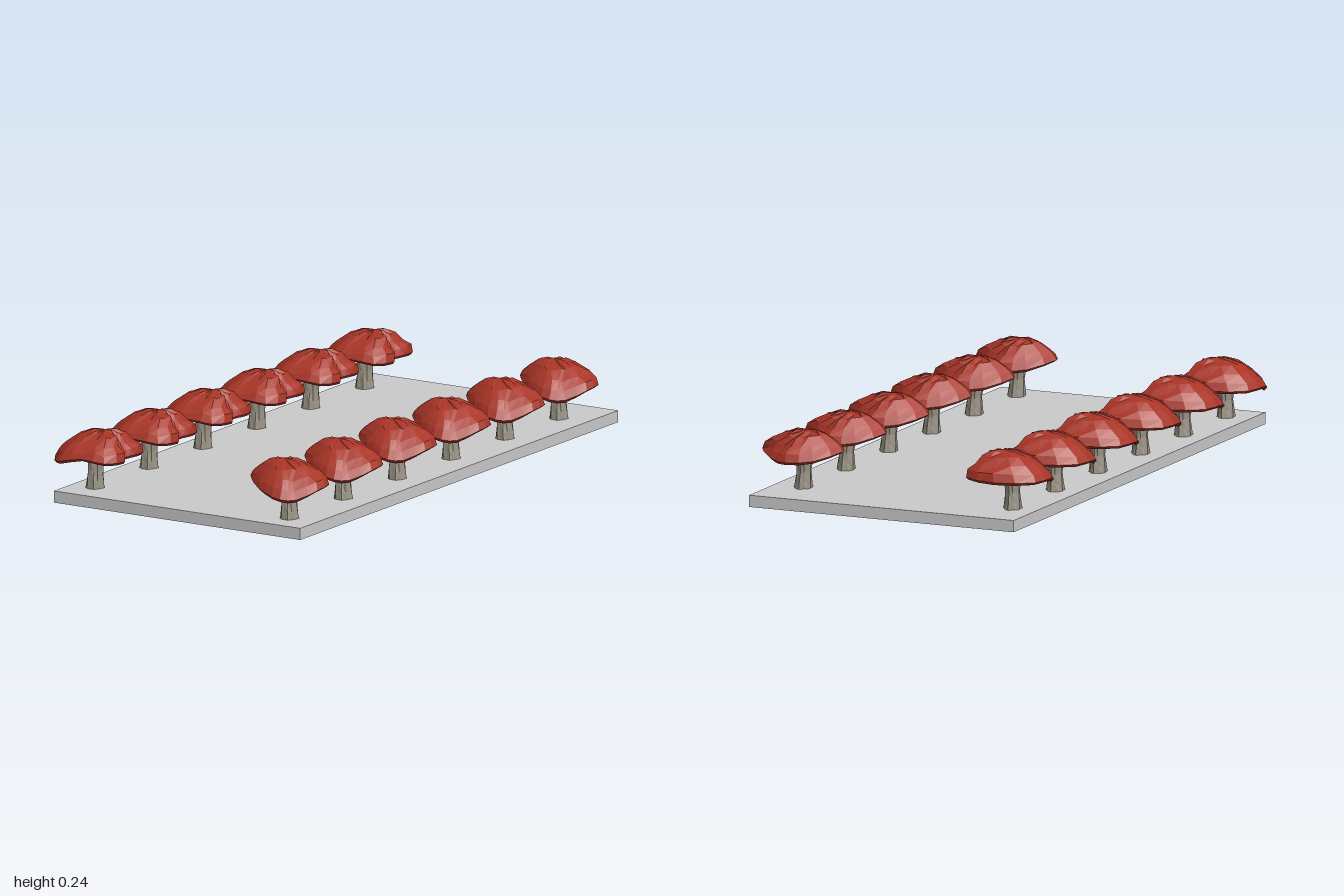
import * as THREE from 'three';

const slabMat = new THREE.MeshStandardMaterial({ color: 0xcccccc, flatShading: true });
const capMat = new THREE.MeshStandardMaterial({ color: 0xa83426, flatShading: true, side: THREE.DoubleSide });
const stemMat = new THREE.MeshStandardMaterial({ color: 0x999384, flatShading: true });

// seeded noise in -1..1
function seeded(seed) {
  let s = seed;
  return () => ((s = (s * 16807) % 2147483647) / 2147483647) * 2 - 1;
}

// wavy rims, clockwise from above: [x, y, z] relative to the mushroom's foot
const RIMS = {
  right: [[-.116, .15, -.07], [.01, .15, -.13], [.122, .155, -.106], [.127, .158, -.042], [.113, .155, 0],
    [.137, .152, .032], [.106, .155, .111], [.02, .163, .122], [-.064, .147, .132], [-.122, .138, .06], [-.132, .15, .03]],
  left: [[-.148, .175, 0], [-.074, .152, -.106], [.021, .148, -.132], [.074, .15, -.095], [.137, .166, -.032],
    [.137, .16, .042], [.085, .132, .106], [.037, .138, .138], [-.042, .155, .116], [-.116, .167, .053]],
};

// section of the cap: [fraction of rim radius, fraction of height], underside to crown
const SECTION = [[0, .5], [.3, .45], [.65, .3], [.94, -.1], [1, 0], [.91, .27], [.75, .52], [.52, .8], [.26, .95], [0, 1]];

// cap: the rim outline scaled and lifted along the section
function capGeometry(rim, apex, seed) {
  const rand = seeded(seed);
  const N = 22;
  const curve = new THREE.CatmullRomCurve3(rim.map(p => new THREE.Vector3(...p)), true);
  const pts = Array.from({ length: N }, (_, i) => curve.getPoint(i / N));
  const pos = [], index = [];
  SECTION.forEach(([t, h], r) => {
    pts.forEach((p) => {
      const bump = t > 0.1 && t < 0.93 ? rand() * 0.005 : 0;
      pos.push(
        apex.x + (p.x - apex.x) * t + bump,
        p.y + (apex.y - p.y) * h + bump,
        apex.z + (p.z - apex.z) * t - bump);
    });
    if (r === SECTION.length - 1) return;
    for (let i = 0; i < N; i++) {
      const a = r * N + i, b = r * N + (i + 1) % N, c = a + N, d = b + N;
      if (SECTION[r + 1][0] > 0) index.push(b, c, d);
      if (t > 0) index.push(a, c, b);
      else index.push(a, c, d);
    }
  });
  const g = new THREE.BufferGeometry();
  g.setAttribute('position', new THREE.Float32BufferAttribute(pos, 3));
  g.setIndex(index);
  g.computeVertexNormals();
  return g;
}

// stem: ridged, waisted trunk that flares under the cap
function stemGeometry(lean) {
  const profile = [[.031, .035], [.028, .065], [.025, .1], [.027, .135], [.032, .165], [.038, .2]];
  const g = new THREE.LatheGeometry(profile.map(([r, y]) => new THREE.Vector2(r, y)), 14);
  const p = g.attributes.position;
  for (let i = 0; i < p.count; i++) {
    const y = p.getY(i);
    const a = Math.atan2(p.getZ(i), p.getX(i));
    const k = 1 + 0.09 * Math.cos(5 * a + y * 25);
    p.setX(i, p.getX(i) * k * 0.95 + lean * (y - 0.04));
    p.setZ(i, p.getZ(i) * k * 1.15);
  }
  g.computeVertexNormals();
  return g;
}

export function createModel() {
  const model = new THREE.Group();
  model.name = 'mushroomPath';

  // path slab
  const slab = new THREE.Mesh(new THREE.BoxGeometry(0.975, 0.04, 1.965), slabMat);
  slab.position.set(0.0075, 0.02, -0.0175);
  slab.name = 'slab';
  model.add(slab);

  // one row of six equal mushrooms along each long side
  const rows = [
    { side: 'right', x: -0.392, z: -0.82, lean: 0, apex: new THREE.Vector3(.03, .241, -.01), seed: 11 },
    { side: 'left', x: 0.386, z: -0.806, lean: -0.06, apex: new THREE.Vector3(-.022, .241, -.005), seed: 47 },
  ];
  for (const { side, x, z, lean, apex, seed } of rows) {
    const capGeo = capGeometry(RIMS[side], apex, seed);
    const stemGeo = stemGeometry(lean);
    for (let i = 0; i < 6; i++) {
      const mushroom = new THREE.Group();
      mushroom.name = `${side}Mushroom${i + 1}`;
      const cap = new THREE.Mesh(capGeo, capMat);
      cap.name = 'cap';
      const stem = new THREE.Mesh(stemGeo, stemMat);
      stem.name = 'stem';
      mushroom.add(cap, stem);
      mushroom.position.set(x, 0, z + i * 0.333);
      model.add(mushroom);
    }
  }
  return model;
}
